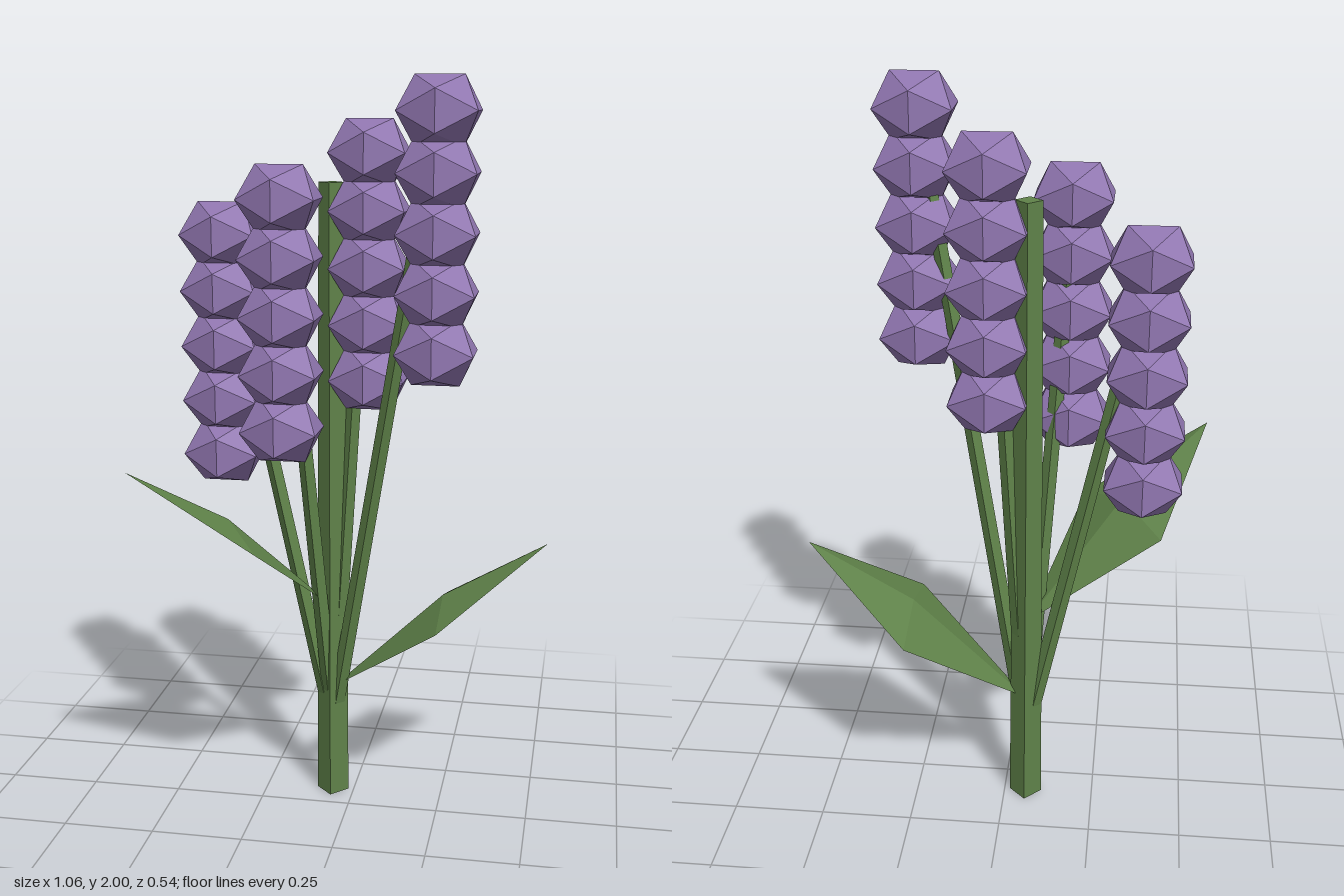
import * as THREE from 'three';

export function createModel() {
  const group = new THREE.Group();
  const green = new THREE.MeshStandardMaterial({ color: 0x5f8249, flatShading: true, side: THREE.DoubleSide });
  green.name = 'leaf green';
  const purple = new THREE.MeshStandardMaterial({ color: 0x9076b0, flatShading: true });
  purple.name = 'blossom purple';
  const stemX = -0.06, stemZ = -0.088;

  // Four-sided tapered stalk between two points
  function stalk(name, from, to, r0, r1) {
    const dir = to.clone().sub(from);
    const mesh = new THREE.Mesh(new THREE.CylinderGeometry(r1, r0, dir.length(), 4), green);
    mesh.name = name;
    mesh.position.copy(from).addScaledVector(dir, 0.5);
    mesh.quaternion.setFromUnitVectors(new THREE.Vector3(0, 1, 0), dir.normalize());
    group.add(mesh);
  }

  stalk('mainStem', new THREE.Vector3(stemX, 0, stemZ), new THREE.Vector3(stemX, 1.73, stemZ), 0.045, 0.035);

  // Flower spikes: a thin stalk leading to a column of squashed blossoms
  const blossom = new THREE.IcosahedronGeometry(0.1176, 0).scale(1, 0.85, 1);
  const spacing = 0.1485;
  for (let i = 0; i < 4; i++) {
    const x = -0.36 + i * 0.2;
    const z = i % 2 ? 0.09 : -0.09;
    const top = 1.591 + i * 0.108;
    stalk('flowerStalk', new THREE.Vector3(stemX, 0.2, stemZ), new THREE.Vector3(x, top, z), 0.022, 0.019);
    const spike = new THREE.Group();
    spike.name = 'flowerSpike';
    for (let j = 0; j < 5; j++) {
      const mesh = new THREE.Mesh(blossom, purple);
      mesh.name = 'blossom';
      mesh.position.set(x, top - j * spacing, z);
      spike.add(mesh);
    }
    group.add(spike);
  }

  // Folded diamond leaf: base, two side corners, tip and a raised midrib point
  const leaf = new THREE.BufferGeometry();
  leaf.setAttribute('position', new THREE.Float32BufferAttribute([
    0, 0, 0,
    0.31, 0.245, 0.178,
    0.592, 0.46, 0,
    0.31, 0.245, -0.178,
    0.31, 0.297, 0,
  ], 3));
  leaf.setIndex([0, 1, 4, 1, 2, 4, 2, 3, 4, 3, 0, 4]);
  leaf.computeVertexNormals();

  for (const [name, y, angle] of [['leftLeaf', 0.315, 0], ['rightLeaf', 0.56, Math.atan2(-0.36, -0.475)]]) {
    const mesh = new THREE.Mesh(leaf, green);
    mesh.name = name;
    mesh.position.set(stemX, y, stemZ);
    mesh.rotation.y = angle;
    group.add(mesh);
  }
  return group;
}
